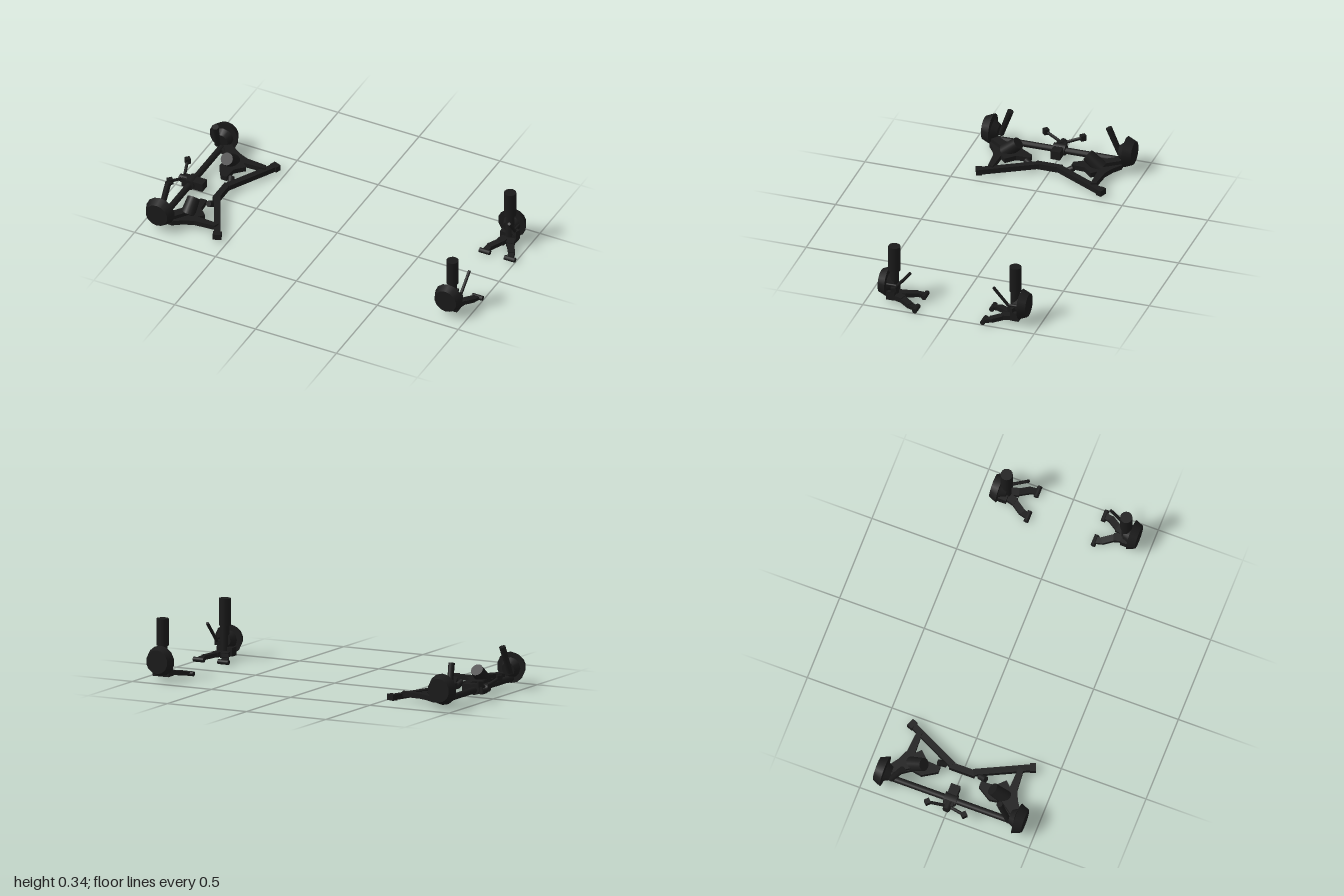
import * as THREE from 'three';

export function createModel() {
  const model = new THREE.Group();
  const black = new THREE.MeshStandardMaterial({ color: 0x1a1a1a });
  black.name = 'satin black metal';
  const V = (p) => new THREE.Vector3(...p);

  function add(parent, name, geo, pos = [0, 0, 0]) {
    const m = new THREE.Mesh(geo, black);
    m.name = name;
    m.position.set(...pos);
    parent.add(m);
    return m;
  }

  // Cylinder or cone between two points
  function rod(parent, name, a, b, rA, rB = rA, sides = 12) {
    const from = V(a), dir = V(b).sub(from);
    const m = add(parent, name, new THREE.CylinderGeometry(rB, rA, dir.length(), sides));
    m.position.copy(from).addScaledVector(dir, 0.5);
    m.quaternion.setFromUnitVectors(new THREE.Vector3(0, 1, 0), dir.normalize());
    return m;
  }

  // Rectangular beam between two points
  function beam(parent, name, a, b, w, h) {
    const from = V(a), to = V(b);
    const m = add(parent, name, new THREE.BoxGeometry(w, h, from.distanceTo(to)));
    m.position.copy(from).lerp(to, 0.5);
    m.lookAt(to);
    return m;
  }

  // Flat plate outlined in x and z
  function plate(parent, name, pts, y, h) {
    const shape = new THREE.Shape(pts.map(([x, z]) => new THREE.Vector2(x, -z)));
    const geo = new THREE.ExtrudeGeometry(shape, { depth: h, bevelEnabled: false });
    geo.rotateX(-Math.PI / 2);
    return add(parent, name, geo, [0, y, 0]);
  }

  for (const s of [1, -1]) {
    const side = s > 0 ? 'Front' : 'Back';
    const P = (x, y, z) => [x, y, z * s];

    // Strut corner at +x
    const strut = new THREE.Group();
    strut.name = 'strutCorner' + side;
    model.add(strut);
    rod(strut, 'hubDrum', P(0.885, 0.107, 0.385), P(0.885, 0.107, 0.43), 0.086, 0.067, 14);
    rod(strut, 'hubSpindle', P(0.885, 0.105, 0.345), P(0.885, 0.105, 0.39), 0.035, 0.055);
    rod(strut, 'strutBody', P(0.89, 0.19, 0.353), P(0.89, 0.341, 0.353), 0.034, 0.034, 16);
    rod(strut, 'strutShaft', P(0.89, 0.05, 0.352), P(0.89, 0.195, 0.352), 0.026);
    add(strut, 'knuckle', new THREE.BoxGeometry(0.1, 0.05, 0.05), P(0.885, 0.045, 0.362));
    rod(strut, 'dropLink', P(0.93, 0.1, 0.335), P(0.94, 0.215, 0.242), 0.009, 0.009, 8);
    rod(strut, 'tieRod', P(0.93, 0.115, 0.325), P(0.93, 0.115, 0.39), 0.007, 0.007, 8);
    beam(strut, 'steeringArm', P(0.89, 0.09, 0.355), P(0.945, 0.09, 0.34), 0.03, 0.025);
    for (const d of [-1, 1]) {
      // Forked lower arm with a bush at each foot
      const x = (v) => 0.89 + d * v;
      beam(strut, 'lowerArmRoot', P(x(0.008), 0.035, 0.375), P(x(0.03), 0.032, 0.29), 0.045, 0.028);
      beam(strut, 'lowerArmLeg', P(x(0.024), 0.032, 0.305), P(x(0.07), 0.022, 0.235), 0.038, 0.024);
      beam(strut, 'lowerArmFoot', P(x(0.067), 0.022, 0.245), P(x(0.077), 0.014, 0.195), 0.035, 0.02);
      rod(strut, 'lowerArmBush', P(x(0.045), 0.014, 0.198), P(x(0.11), 0.014, 0.198), 0.014);
    }

    // Sprung corner at -x
    const corner = new THREE.Group();
    corner.name = 'springCorner' + side;
    model.add(corner);
    rod(corner, 'hubDrum', P(-0.897, 0.107, 0.388), P(-0.897, 0.107, 0.437), 0.088, 0.067, 14);
    rod(corner, 'hubSpindle', P(-0.897, 0.1, 0.355), P(-0.897, 0.105, 0.39), 0.04, 0.06);
    rod(corner, 'shockAbsorber', P(-0.915, 0.08, 0.345), P(-0.898, 0.238, 0.287), 0.016, 0.018);
    add(corner, 'shockJoint', new THREE.SphereGeometry(0.017, 12, 8), P(-0.915, 0.08, 0.345));
    const outline = [[-0.91, 0.38], [-0.83, 0.385], [-0.78, 0.35], [-0.72, 0.325], [-0.6, 0.315],
      [-0.59, 0.285], [-0.72, 0.28], [-0.69, 0.25], [-0.74, 0.2], [-0.745, 0.12], [-0.78, 0.12],
      [-0.83, 0.2], [-0.82, 0.26], [-0.87, 0.33], [-0.91, 0.34]].map(([x, z]) => [x, z * s]);
    plate(corner, 'lowerArm', outline, 0.028, 0.028);
    beam(corner, 'lowerArmRib', P(-0.86, 0.06, 0.365), P(-0.79, 0.06, 0.27), 0.05, 0.035);
    rod(corner, 'springUnit', P(-0.785, 0.045, 0.28), P(-0.785, 0.112, 0.202), 0.042, 0.036, 14);

    // Swept end of the subframe
    beam(corner, 'subframeArm', P(-0.71, 0.04, 0.06), P(-0.56, 0.028, 0.36), 0.036, 0.03);
    beam(corner, 'subframeMount', P(-0.568, 0.029, 0.34), P(-0.556, 0.029, 0.372), 0.048, 0.034);
    rod(corner, 'subframePost', P(-0.712, 0.028, 0.1), P(-0.725, 0.05, 0.14), 0.018);

    // Bracket beside the differential
    rod(corner, 'bracketArm', P(-0.955, 0.07, 0.025), P(-0.978, 0.098, 0.105), 0.009, 0.009, 8);
    const pad = add(corner, 'bracketPad', new THREE.BoxGeometry(0.03, 0.032, 0.03), P(-0.979, 0.1, 0.108));
    pad.rotation.y = Math.PI / 4;
  }

  // Parts joining both sides of the -x axle
  rod(model, 'axleTube', [-0.9, 0.046, -0.385], [-0.9, 0.046, 0.385], 0.018);
  beam(model, 'subframeCrossbar', [-0.715, 0.037, -0.075], [-0.715, 0.037, 0.075], 0.036, 0.034);
  add(model, 'differential', new THREE.BoxGeometry(0.13, 0.05, 0.056), [-0.885, 0.05, 0]);
  rod(model, 'differentialNose', [-0.93, 0.052, 0], [-0.975, 0.06, 0], 0.028, 0.02);
  rod(model, 'differentialCase', [-0.9, 0.05, -0.036], [-0.9, 0.05, 0.036], 0.032, 0.032, 10);
  return model;
}
